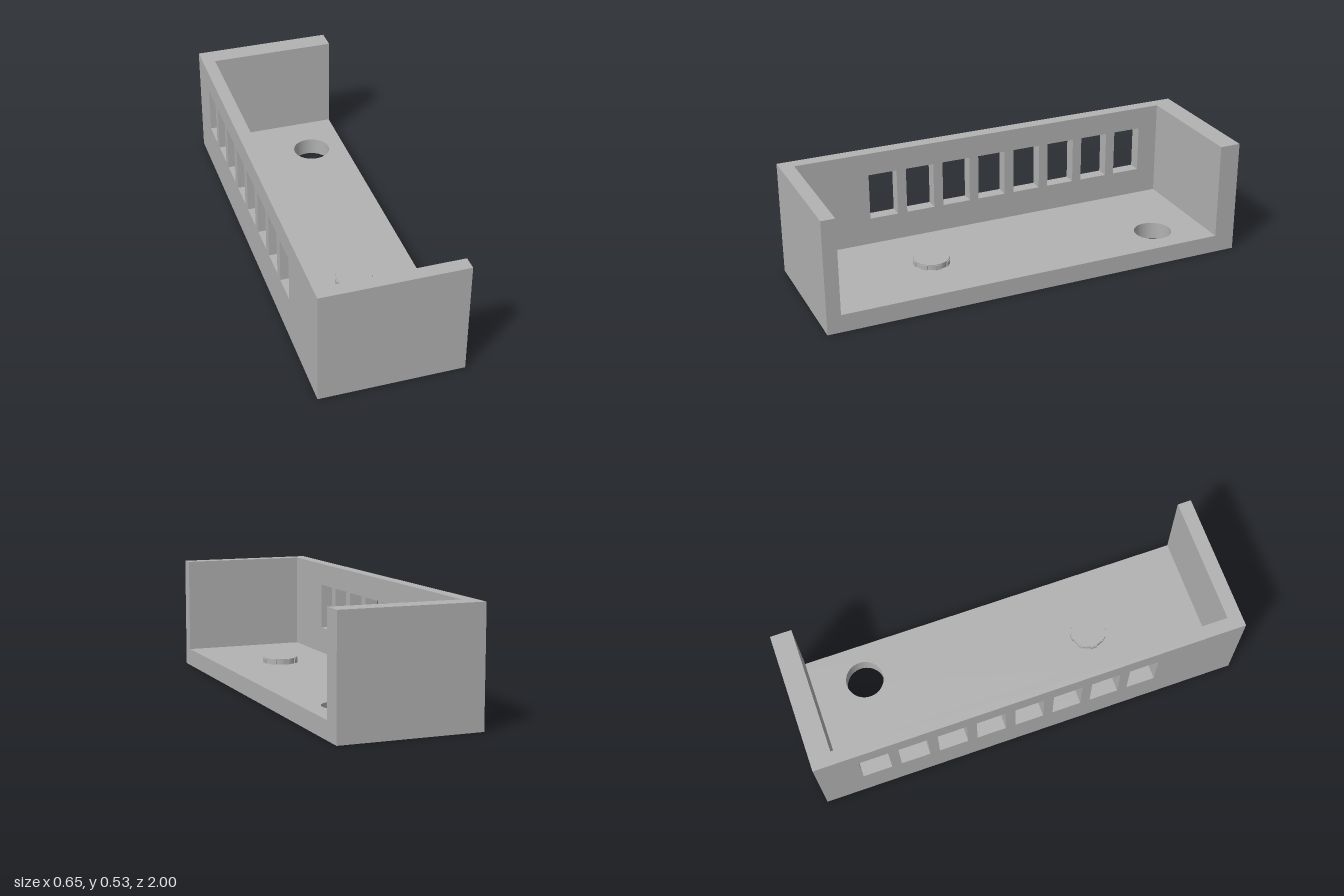
import * as THREE from 'three';

const HALF_W = 0.325, FLOOR = 0.083, TOP = 0.533, WALL_X = -0.265;

function rect(x0, y0, x1, y1, Type = THREE.Shape) {
  const s = new Type();
  s.moveTo(x0, y0);
  s.lineTo(x1, y0);
  s.lineTo(x1, y1);
  s.lineTo(x0, y1);
  s.closePath();
  return s;
}

export function createModel() {
  const group = new THREE.Group();
  const grey = new THREE.MeshStandardMaterial({ color: 0xb2b2b2 });
  grey.name = 'grey';

  const add = (name, geometry, x = 0, y = 0, z = 0) => {
    const mesh = new THREE.Mesh(geometry, grey);
    mesh.name = name;
    mesh.position.set(x, y, z);
    group.add(mesh);
  };
  const extrude = (shape, depth) =>
    new THREE.ExtrudeGeometry(shape, { depth, bevelEnabled: false, curveSegments: 32 });

  // Floor with a round drain hole
  const floor = rect(-HALF_W, -1, HALF_W, 1);
  floor.holes.push(new THREE.Path().absarc(0.157, 0.66, 0.088, 0, Math.PI * 2, true));
  add('floor', extrude(floor, FLOOR).rotateX(-Math.PI / 2));

  // Long side wall with a row of eight windows
  const wall = rect(-1, FLOOR, 1, TOP);
  for (let i = 0; i < 8; i++) {
    const z = 0.46 - i * 0.1806;
    wall.holes.push(rect(z, 0.21, z + 0.135, 0.428, THREE.Path));
  }
  add('windowWall', extrude(wall, HALF_W + WALL_X).rotateY(-Math.PI / 2), WALL_X);

  // End walls; the +x side stays open
  const endWall = (name, z0, z1) => add(name,
    new THREE.BoxGeometry(HALF_W - WALL_X, TOP - FLOOR, z1 - z0),
    (HALF_W + WALL_X) / 2, (TOP + FLOOR) / 2, (z0 + z1) / 2);
  endWall('frontWall', 0.936, 1);
  endWall('backWall', -1, -0.902);

  // Low round knob with small grips around its rim
  const [kx, kz] = [0.027, 0.41];
  add('knob', new THREE.CylinderGeometry(0.08, 0.08, 0.026, 48), kx, FLOOR + 0.013, kz);
  for (let i = 0; i < 8; i++) {
    const grip = new THREE.BoxGeometry(0.012, 0.022, 0.03);
    grip.translate(0.078, 0, 0).rotateY(i * Math.PI / 4);
    add('knobGrip', grip, kx, FLOOR + 0.011, kz);
  }
  return group;
}
